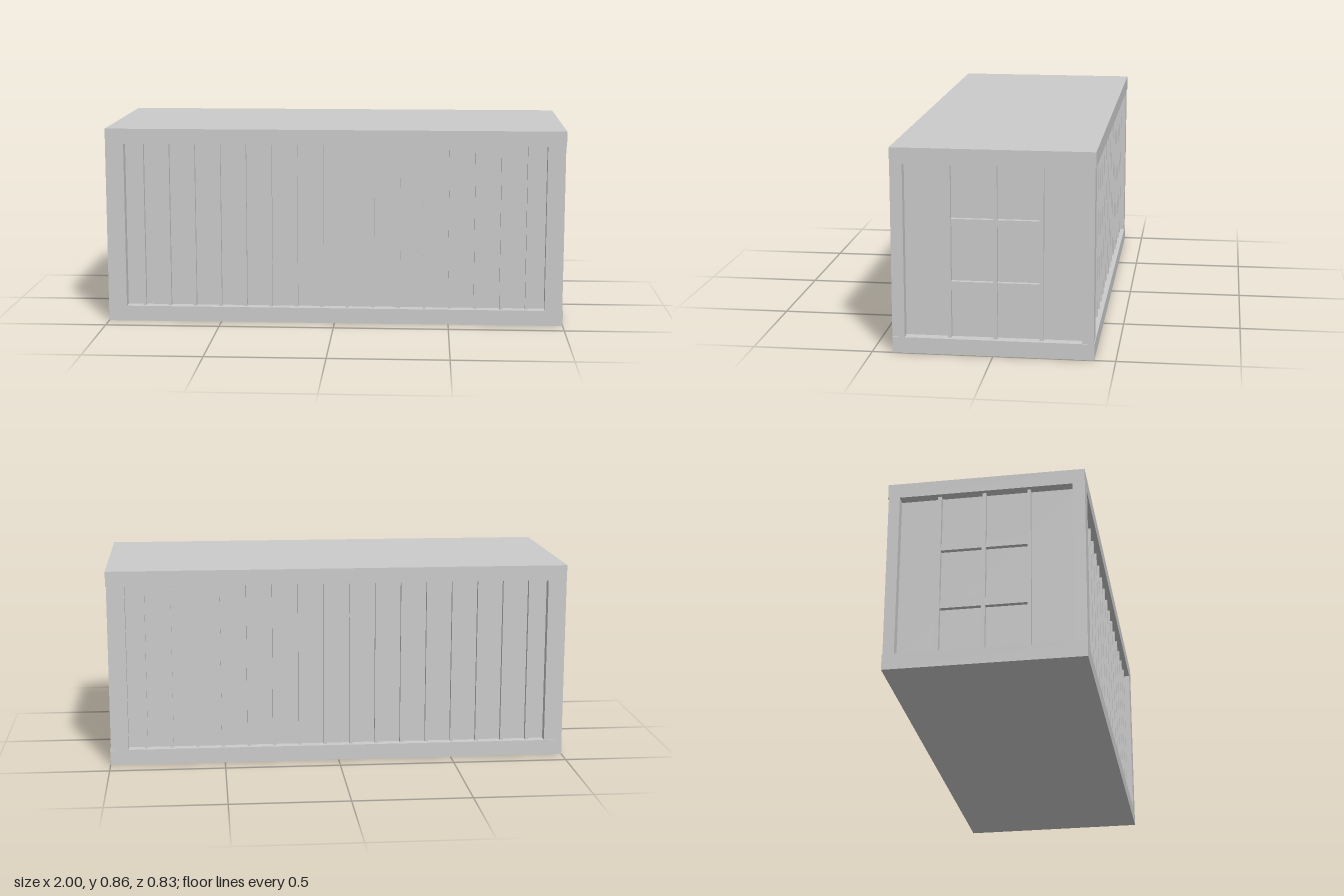
import * as THREE from 'three';

const material = new THREE.MeshStandardMaterial({ color: 0xcccccc, flatShading: true });

// Box given by its minimum and maximum corners
function slab(parent, name, [x0, y0, z0], [x1, y1, z1]) {
  const mesh = new THREE.Mesh(new THREE.BoxGeometry(x1 - x0, y1 - y0, z1 - z0), material);
  mesh.position.set((x0 + x1) / 2, (y0 + y1) / 2, (z0 + z1) / 2);
  mesh.name = name;
  parent.add(mesh);
  return mesh;
}

export function createModel() {
  const model = new THREE.Group();
  model.name = 'shippingContainer';

  const top = 0.856, low = 0.067, high = 0.79; // overall height, opening bottom and top
  const front = 0.415, back = -0.413;
  const wallX = 0.957, wallZ = 0.372;          // recessed wall planes

  // Floor and roof slabs with their rails
  slab(model, 'floorFrame', [-1, 0, back], [1, low, front]);
  slab(model, 'roofFrame', [-1, high, back], [1, top, front]);

  // Recessed wall body
  slab(model, 'walls', [-wallX, low, -wallZ], [wallX, high, wallZ]);

  // Corner posts, set in a hair on the +x and back faces
  for (const [x0, x1] of [[-1, -0.92], [0.92, 0.997]]) {
    slab(model, 'cornerPost', [x0, low, 0.364], [x1, high, front]);
    slab(model, 'cornerPost', [x0, low, back + 0.003], [x1, high, -0.363]);
  }

  // Vertical ribs along both long walls
  const ribs = new THREE.Group();
  ribs.name = 'wallRibs';
  model.add(ribs);
  for (let i = 0; i < 16; i++) {
    const x = -0.851 + i * 0.1125;
    slab(ribs, 'frontRib', [x, low, wallZ], [x + 0.014, high, wallZ + 0.022]);
    slab(ribs, 'backRib', [x, low, -wallZ - 0.022], [x + 0.014, high, -wallZ]);
  }

  // Door bars on both ends: three uprights joined by two rows of crossbars
  const uprights = [[-0.204, -0.188], [-0.016, 0], [0.173, 0.187]];
  const crossRows = [[0.268, 0.304], [0.535, 0.565]];
  for (const side of [-1, 1]) {
    const door = new THREE.Group();
    door.name = side > 0 ? 'leftEndDoor' : 'rightEndDoor';
    model.add(door);
    const span = (depth) => [side * wallX, side * (wallX + depth)].sort((a, b) => a - b);
    const [u0, u1] = span(0.024);
    for (const [z0, z1] of uprights) slab(door, 'lockingBar', [u0, low, z0], [u1, high, z1]);
    const [c0, c1] = span(0.02);
    for (const [y0, y1] of crossRows) {
      for (let i = 0; i < 2; i++) {
        slab(door, 'crossBar', [c0, y0, uprights[i][1]], [c1, y1, uprights[i + 1][0]]);
      }
    }
  }

  return model;
}
